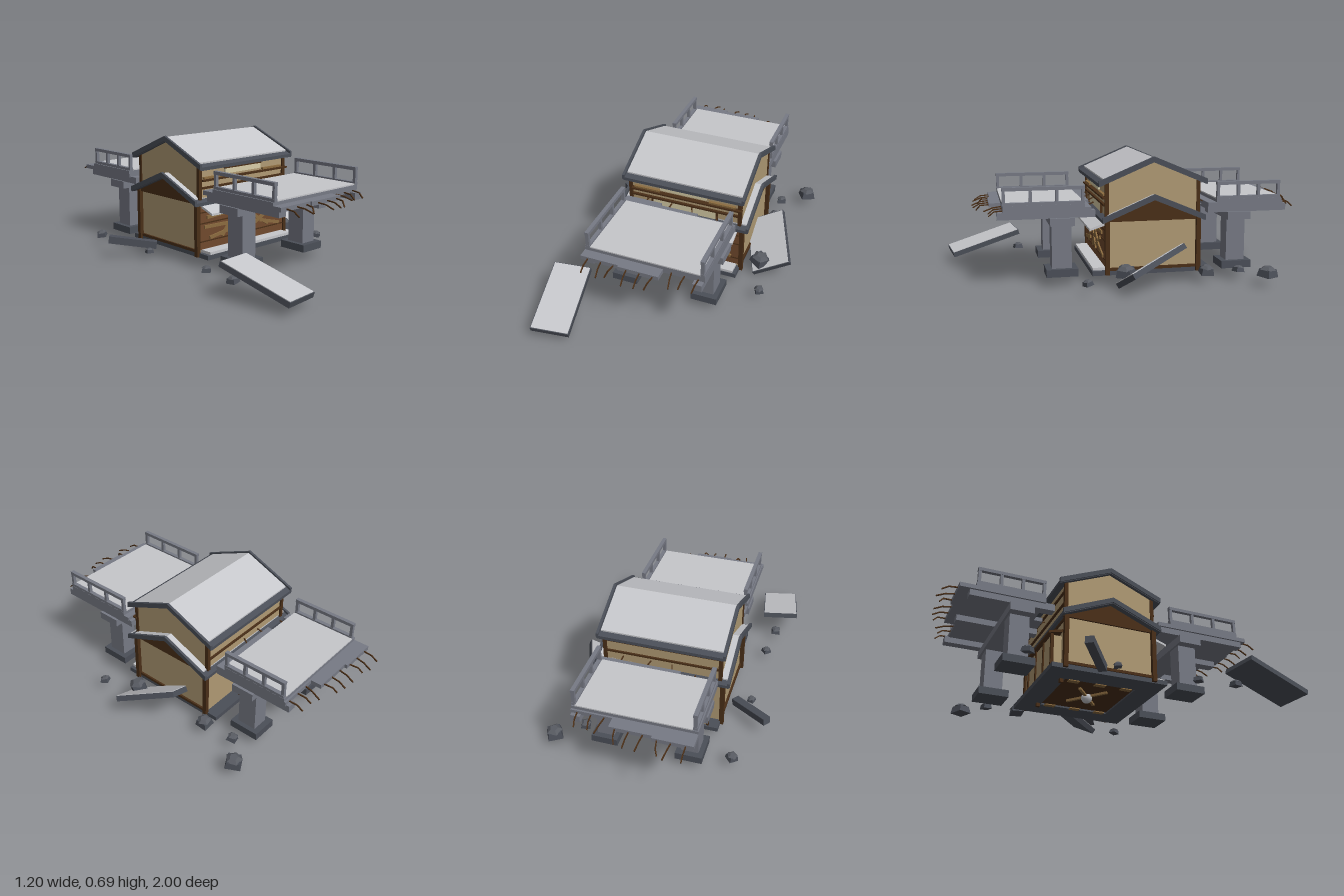
import * as THREE from 'three';

const mat = (name, color) => {
  const m = new THREE.MeshStandardMaterial({ color });
  m.name = name;
  return m;
};

export function createModel() {
  const M = {
    wall: mat('tan wall', 0xb09a74), pale: mat('pale concrete', 0xc6c7cb),
    concrete: mat('grey concrete', 0x777a85), slate: mat('dark slate', 0x4b4f58),
    dark: mat('dark wood', 0x4a2f18), red: mat('red brown wood', 0x70492d),
    plank: mat('plank wood', 0x8c6c40), cream: mat('cream panel', 0xd8cda8),
    rubble: mat('rubble', 0x585b62),
  };
  const root = new THREE.Group();
  root.name = 'ruinedHouse';
  const group = (name, parent = root) => {
    const g = new THREE.Group();
    g.name = name;
    parent.add(g);
    return g;
  };
  const add = (parent, name, geo, m) => {
    const mesh = new THREE.Mesh(geo, m);
    mesh.name = name;
    parent.add(mesh);
    return mesh;
  };
  // box given by its limits on each axis
  const box = (p, name, m, x0, x1, y0, y1, z0, z1) => {
    const b = add(p, name, new THREE.BoxGeometry(x1 - x0, y1 - y0, Math.abs(z1 - z0)), m);
    b.position.set((x0 + x1) / 2, (y0 + y1) / 2, (z0 + z1) / 2);
    return b;
  };
  // bar of width w and height h running from a to b
  const bar = (p, name, m, a, b, w, h = w) => {
    const A = new THREE.Vector3(...a), B = new THREE.Vector3(...b);
    const s = add(p, name, new THREE.BoxGeometry(w, h, A.distanceTo(B)), m);
    s.position.copy(A).add(B).multiplyScalar(0.5);
    s.lookAt(B);
    return s;
  };
  // (z, y) outline drawn out along x
  const sweep = (p, name, m, pts, x0, x1) => {
    const geo = new THREE.ExtrudeGeometry(new THREE.Shape(pts.map(q => new THREE.Vector2(...q))),
      { depth: x1 - x0, bevelEnabled: false });
    geo.rotateY(-Math.PI / 2).translate(x1, 0, 0);
    return add(p, name, geo, m);
  };
  const ridgeZ = -0.09;
  const chevron = (p, name, m, top, half, slope, t, x0, x1) => sweep(p, name, m, [
    [ridgeZ - half, top - half * slope - t], [ridgeZ, top - t], [ridgeZ + half, top - half * slope - t],
    [ridgeZ + half, top - half * slope], [ridgeZ, top], [ridgeZ - half, top - half * slope]], x0, x1);

  // foundation with a sunken wooden panel beneath
  const base = group('foundation');
  const outer = new THREE.Shape([[-0.33, -0.41], [0.33, -0.41], [0.33, 0.24], [-0.33, 0.24]].map(q => new THREE.Vector2(...q)));
  outer.holes.push(new THREE.Path([[-0.2, -0.29], [-0.2, 0.11], [0.2, 0.11], [0.2, -0.29]].map(q => new THREE.Vector2(...q))));
  const ring = new THREE.ExtrudeGeometry(outer, { depth: 0.025, bevelEnabled: false });
  ring.rotateX(Math.PI / 2).translate(0, 0.08, 0);
  add(base, 'foundationSlab', ring, M.slate);
  box(base, 'underfloor', M.dark, -0.2, 0.2, 0.065, 0.08, -0.29, 0.11);
  box(base, 'porchFloor', M.pale, -0.31, 0.31, 0.08, 0.095, 0.16, 0.235);
  const ball = add(base, 'footingStone', new THREE.IcosahedronGeometry(0.032, 1), M.pale);
  ball.position.set(0, 0.052, ridgeZ);
  for (const x of [-0.19, 0.19]) {
    box(base, 'floorPeg', M.dark, x - 0.01, x + 0.01, 0.035, 0.06, -0.32, -0.3);
    for (const z of [-0.24, -0.09, 0.06]) box(base, 'floorCleat', M.plank, x - 0.015, x + 0.015, 0.05, 0.056, z - 0.03, z + 0.03);
  }
  for (const s of [-1, 1]) bar(base, 'brokenJoist', M.plank, [-0.1, 0.06, ridgeZ - 0.08 * s], [0.1, 0.06, ridgeZ + 0.08 * s], 0.015);

  // house walls
  const house = group('house');
  sweep(house, 'walls', M.wall, [[-0.34, 0.08], [0.16, 0.08], [0.16, 0.555], [ridgeZ, 0.66], [-0.34, 0.555]], -0.325, 0.325);
  for (const s of [-1, 1]) {
    const a = s * 0.328, b = s * 0.338;
    sweep(house, 'gableBoard', M.dark, [[-0.36, 0.345], [0.18, 0.345], [ridgeZ, 0.465]], Math.min(a, b), Math.max(a, b));
    for (const z of [-0.34, 0.16]) {
      box(house, 'cornerPost', M.dark, s * 0.335 - 0.012, s * 0.335 + 0.012, 0.06, 0.36, z - 0.012, z + 0.012);
      box(house, 'upperPost', M.dark, s * 0.32 - 0.01, s * 0.32 + 0.01, 0.36, 0.56, z - 0.01, z + 0.01);
    }
    box(house, 'sideSill', M.dark, s * 0.33 - 0.006, s * 0.33 + 0.006, 0.08, 0.095, -0.34, 0.16);
  }

  // roofs: dark deck, pale covering, barge boards
  const roofs = group('roofs');
  const roof = (top, half, slope, X) => {
    chevron(roofs, 'roofDeck', M.slate, top - 0.008, half, slope, 0.018, -X, X);
    chevron(roofs, 'roofCover', M.pale, top, half - 0.03, slope, 0.012, -X + 0.012, X - 0.012);
    for (const s of [-1, 1]) chevron(roofs, 'bargeBoard', M.slate, top + 0.006, half, slope, 0.028, s * X - 0.007, s * X + 0.007);
  };
  roof(0.682, 0.295, 0.42, 0.345);
  roof(0.485, 0.28, 0.42, 0.37);
  sweep(roofs, 'porchRoof', M.pale, [[0.16, 0.325], [0.25, 0.295], [0.25, 0.307], [0.16, 0.34]], -0.31, 0.31);
  for (let i = 0; i < 7; i++) bar(roofs, 'rafterTip', M.dark, [-0.27 + i * 0.09, 0.55, 0.16], [-0.27 + i * 0.09, 0.54, 0.195], 0.008, 0.014);

  // front: boarded-up ground floor
  const front = group('frontWall');
  box(front, 'groundFloorBoards', M.red, -0.322, 0.322, 0.095, 0.33, 0.158, 0.166);
  for (const y of [0.135, 0.235, 0.295]) box(front, 'boardSeam', M.dark, -0.32, 0.32, y, y + 0.006, 0.165, 0.17);
  const planks = [[-0.055, 0.145, 0.045, 0.25], [0.05, 0.14, -0.05, 0.25], [0.06, 0.17, 0.19, 0.235], [0.06, 0.235, 0.19, 0.16],
    [0.1, 0.27, 0.25, 0.275], [0.12, 0.19, 0.28, 0.15], [-0.28, 0.27, -0.1, 0.28], [-0.26, 0.155, -0.1, 0.18],
    [-0.17, 0.15, -0.09, 0.25], [-0.3, 0.22, -0.1, 0.215]];
  planks.forEach(([x0, y0, x1, y1], i) => bar(front, 'nailedPlank', M.plank, [x0, y0, 0.172 + i * 0.0005], [x1, y1, 0.172 + i * 0.0005], 0.008, 0.018));
  // front: upper floor
  box(front, 'upperBeam', M.dark, -0.31, 0.335, 0.467, 0.476, 0.16, 0.185);
  box(front, 'upperSill', M.dark, -0.31, 0.31, 0.425, 0.435, 0.16, 0.175);
  box(front, 'windowPanel', M.cream, -0.19, 0.18, 0.375, 0.425, 0.158, 0.167);
  box(front, 'middleBoard', M.cream, -0.14, 0.13, 0.49, 0.518, 0.158, 0.172);
  box(front, 'middleBoardTrim', M.dark, -0.145, 0.135, 0.518, 0.524, 0.158, 0.174);
  for (const s of [-1, 1]) {
    box(front, 'sideBoard', M.plank, s * 0.22 - 0.075, s * 0.22 + 0.075, 0.478, 0.488, 0.158, 0.176);
    box(front, 'windowPost', M.dark, s * 0.19 - 0.005, s * 0.19 + 0.005, 0.37, 0.43, 0.158, 0.172);
  }

  // back: shallow annex and trims
  const back = group('backWall');
  box(back, 'annex', M.wall, -0.27, 0.1, 0.08, 0.26, -0.395, -0.34);
  sweep(back, 'annexRoof', M.dark, [[-0.415, 0.262], [-0.34, 0.28], [-0.34, 0.295], [-0.415, 0.275]], -0.285, 0.115);
  for (const x of [-0.27, -0.147, -0.023, 0.1]) box(back, 'annexPost', M.dark, x - 0.007, x + 0.007, 0.08, 0.265, -0.402, -0.385);
  for (const y of [0.335, 0.43, 0.5]) box(back, 'backBeam', M.dark, -0.32, 0.32, y, y + 0.01, -0.35, -0.34);

  // raised decks; d = +1 for the front, -1 for the back
  const deck = (name, d, inner, outerZ, r0, r1, ends, pier) => {
    const g = group(name);
    const xs = [-0.33, -0.12, 0.1, 0.32];
    ends.forEach((e, i) => box(g, 'brokenSlab', M.concrete, xs[i], xs[i + 1], 0.405, 0.428, inner[i], e));
    box(g, 'deckSlab', M.concrete, -0.33, 0.32, 0.42, 0.445, r0, outerZ);
    box(g, 'deckSurface', M.pale, -0.3, 0.3, 0.445, 0.452, r0, outerZ);
    for (const x of [-0.295, 0, 0.29]) box(g, 'girder', M.concrete, x - 0.025, x + 0.025, 0.372, 0.41, inner[1], outerZ + d * 0.03);
    box(g, 'capBeam', M.concrete, -0.33, 0.33, 0.33, 0.373, pier - 0.065, pier + 0.065);
    for (const x of [-0.235, 0.23]) {
      box(g, 'pier', M.concrete, x - 0.047, x + 0.047, 0.085, 0.335, pier - 0.053, pier + 0.053);
      box(g, 'pierFooting', M.slate, x - 0.073, x + 0.073, 0.052, 0.093, pier - 0.085, pier + 0.085);
    }
    // railings
    for (const x of [-0.312, 0.308]) {
      box(g, 'topRail', M.concrete, x - 0.011, x + 0.011, 0.522, 0.54, r0, r1);
      box(g, 'bottomRail', M.concrete, x - 0.011, x + 0.011, 0.445, 0.46, r0, r1);
      for (let i = 0; i < 4; i++) {
        const z = r0 + d * 0.009 + (r1 - r0 - d * 0.018) * i / 3;
        box(g, 'railPost', M.concrete, x - 0.009, x + 0.009, 0.445, 0.53, z - 0.008, z + 0.008);
      }
    }
    // bent reinforcing rods
    for (let i = 0; i < 9; i++) {
      const x = -0.29 + i * 0.072, k = x < -0.12 ? 0 : x < 0.1 ? 1 : 2, w = Math.sin(i * 2.3);
      const mid = [x + w * 0.01, 0.412, ends[k] + d * 0.045];
      bar(g, 'rod', M.dark, [x, 0.417, ends[k] - d * 0.01], mid, 0.006);
      bar(g, 'rodTip', M.dark, mid, [x + w * 0.022, 0.39 + w * 0.006, ends[k] + d * (0.08 + w * 0.015)], 0.006);
      if (i % 2) bar(g, 'innerRod', M.dark, [x, 0.417, inner[k] + d * 0.01], [x + w * 0.02, 0.435, inner[k] - d * 0.03], 0.006);
    }
  };
  deck('frontDeck', 1, [0.2, 0.22, 0.24], 0.702, 0.275, 0.705, [0.755, 0.765, 0.7], 0.395);
  deck('backDeck', -1, [-0.45, -0.4, -0.4], -0.82, -0.45, -0.815, [-0.905, -0.89, -0.83], -0.575);

  // fallen slabs: centre, long edge, short edge
  const debris = group('debris');
  const slab = (name, c, u, w, t) => {
    const U = new THREE.Vector3(...u), W = new THREE.Vector3(...w);
    const L = U.length(), Wd = W.length();
    U.normalize();
    W.addScaledVector(U, -W.dot(U)).normalize();
    const N = new THREE.Vector3().crossVectors(U, W);
    const g = group(name, debris);
    const body = add(g, 'slabBody', new THREE.BoxGeometry(Wd, t, L), M.slate);
    const top = add(g, 'slabTop', new THREE.BoxGeometry(Wd - 0.008, 0.006, L - 0.008), M.pale);
    top.position.y = t / 2;
    body.position.y = 0;
    g.setRotationFromMatrix(new THREE.Matrix4().makeBasis(W, N, U));
    g.position.set(...c);
  };
  slab('fallenSlab', [-0.457, 0.115, 0.785], [0.06, -0.115, 0.39], [0.205, -0.01, -0.025], 0.028);
  slab('leaningSlab', [0.435, 0.122, -0.055], [0.13, -0.12, 0.305], [0.19, 0.105, -0.06], 0.03);
  bar(debris, 'fallenBeam', M.slate, [-0.58, 0.11, -0.31], [-0.37, 0.07, -0.15], 0.045, 0.04);

  // rubble lumps: x, z, radius
  [[-0.45, -0.575, 0.037], [0.51, -0.675, 0.058], [0.375, -0.56, 0.036], [0.385, -0.375, 0.05], [-0.455, -0.105, 0.028],
    [0.425, 0.08, 0.06], [-0.45, 0.36, 0.032], [0.485, 0.29, 0.032], [-0.47, 0.575, 0.036]].forEach(([x, z, r], i) => {
    const g = group('rubbleLump', debris);
    add(g, 'lump', new THREE.CylinderGeometry(r * 0.8, r, r * 0.7, 4).toNonIndexed(), M.slate).geometry.computeVertexNormals();
    const cap = add(g, 'lumpTop', new THREE.CylinderGeometry(r * 0.4, r * 0.8, r * 0.28, 5).toNonIndexed(), M.rubble);
    cap.geometry.computeVertexNormals();
    cap.position.y = r * 0.45;
    g.position.set(x, i === 5 ? 0.095 : 0.048 + r * 0.4, z);
    g.rotation.set(Math.sin(i * 3) * 0.2, i * 1.3, Math.cos(i * 2) * 0.2);
  });
  return root;
}
